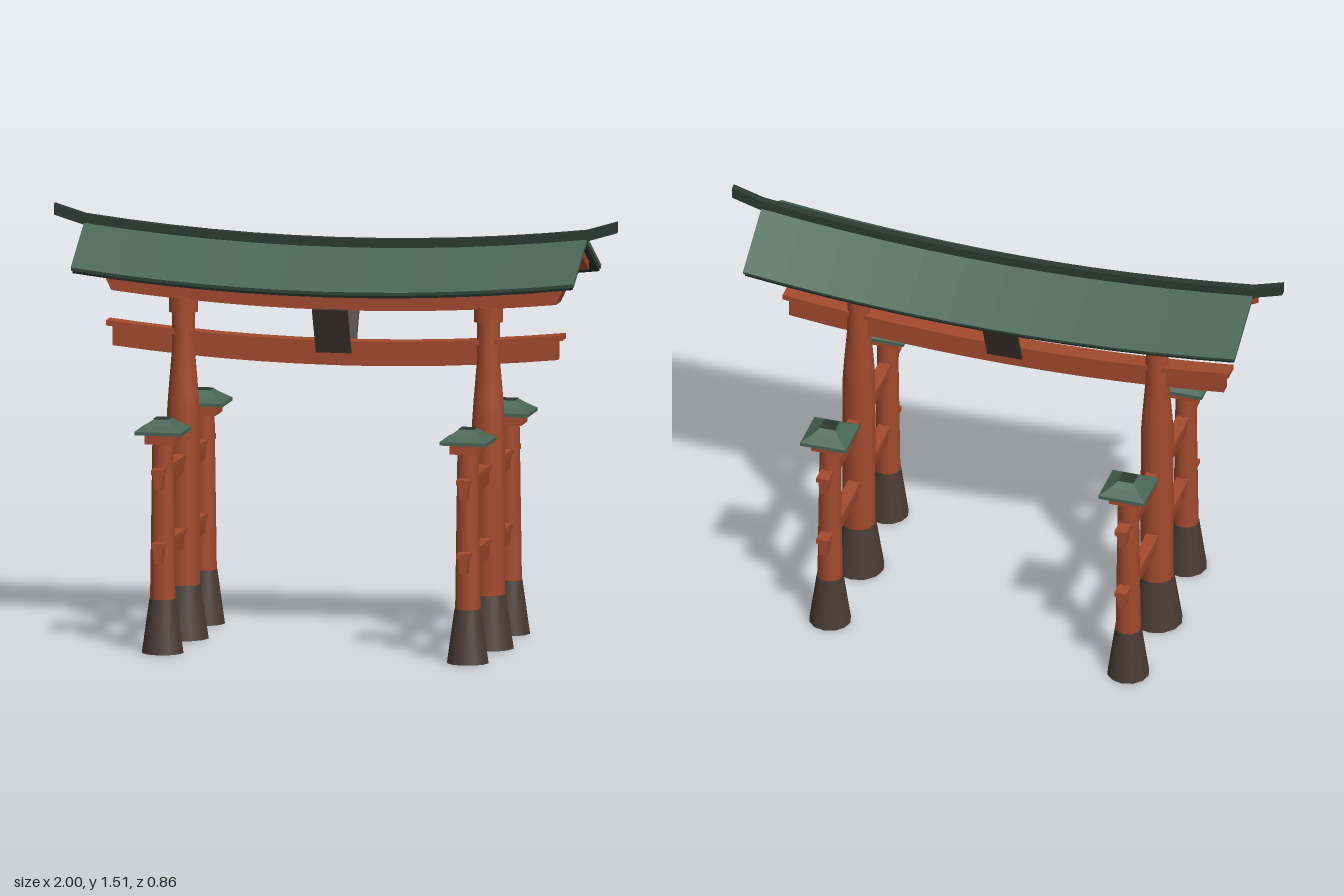
import * as THREE from 'three';

const mat = (name, color, flat = true) => {
  const m = new THREE.MeshStandardMaterial({ color });
  m.name = name;
  m.flatShading = flat;
  return m;
};

// Upward sweep shared by the beams and the roof
const curve = (x) => 0.055 * (x / 0.89) ** 2;
const beamCurve = (x) => 0.045 * (x / 0.8) ** 2;
const ridgeCurve = (x) => curve(x) + 0.17 * Math.max(0, Math.abs(x) - 0.89);

// Sweeps a convex section of [z, y, halfLength] points along x, bending it by a rule
function sweep(section, bend, stations) {
  let area = 0;
  section.forEach(([z, y], i) => {
    const [z2, y2] = section[(i + 1) % section.length];
    area += z * y2 - z2 * y;
  });
  const pts = area > 0 ? section : [...section].reverse();
  const n = pts.length, last = stations.length - 1, pos = [];
  const at = (k, i) => {
    const [z, y, h] = pts[i % n];
    const x = stations[k] * h;
    return [x, y + bend(x), z];
  };
  for (let k = 0; k < last; k++) {
    for (let i = 0; i < n; i++) {
      const a = at(k, i), b = at(k + 1, i), c = at(k + 1, i + 1), d = at(k, i + 1);
      pos.push(...a, ...b, ...c, ...a, ...c, ...d);
    }
  }
  for (let i = 1; i < n - 1; i++) {
    pos.push(...at(0, 0), ...at(0, i), ...at(0, i + 1));
    pos.push(...at(last, 0), ...at(last, i + 1), ...at(last, i));
  }
  const g = new THREE.BufferGeometry();
  g.setAttribute('position', new THREE.Float32BufferAttribute(pos, 3));
  g.computeVertexNormals();
  return g;
}

const even = Array.from({ length: 13 }, (_, i) => i / 6 - 1);
const ridgeStations = [-1, -0.95, -0.89, ...even.slice(1, -1).map((t) => t * 0.89), 0.89, 0.95, 1];

// Rectangular section: half depth, bottom, top, half lengths at bottom and top
const bar = (hz, y0, y1, h0, h1 = h0) => [[-hz, y0, h0], [hz, y0, h0], [hz, y1, h1], [-hz, y1, h1]];

export function createModel() {
  const root = new THREE.Group();
  const red = mat('vermilion wood', 0xa34a2e);
  const redRound = mat('vermilion wood', 0xa34a2e);
  redRound.flatShading = false;
  const paint = redRound;
  const green = mat('roof green', 0x486555);
  const dark = mat('dark ridge green', 0x2c3a33);
  const brown = mat('dark footing brown', 0x4a3b35, false);
  const plaqueMat = mat('plaque brown', 0x40352f);

  const add = (parent, name, geometry, material, x = 0, y = 0, z = 0) => {
    const m = new THREE.Mesh(geometry, material);
    m.name = name;
    m.position.set(x, y, z);
    parent.add(m);
    return m;
  };
  const lathe = (points) => new THREE.LatheGeometry(points.map((p) => new THREE.Vector2(...p)), 12);
  // Square frustum with its sides along the axes
  const frustum = (top, bottom, h) =>
    new THREE.CylinderGeometry(top * Math.SQRT2, bottom * Math.SQRT2, h, 4).rotateY(Math.PI / 4);

  for (const s of [-1, 1]) {
    const side = new THREE.Group();
    side.name = s > 0 ? 'leftLegs' : 'rightLegs';
    side.position.x = s * 0.542;
    root.add(side);

    // Main pillar with footing and collar
    add(side, 'pillarFooting', new THREE.CylinderGeometry(0.061, 0.09, 0.19, 12), brown, 0, 0.095, 0);
    add(side, 'pillar', lathe([[0.059, 0.19], [0.058, 0.8], [0.053, 0.87], [0.042, 1.0], [0.04, 1.15]]), paint);
    add(side, 'pillarCollar', new THREE.CylinderGeometry(0.052, 0.052, 0.054, 12), paint, 0, 1.174, 0);

    // Support posts with small roofs
    for (const f of [-1, 1]) {
      const post = new THREE.Group();
      post.name = f > 0 ? 'frontPost' : 'backPost';
      post.position.z = f * 0.338;
      side.add(post);
      add(post, 'postFooting', new THREE.CylinderGeometry(0.047, 0.074, 0.19, 12), brown, 0, 0.095, 0);
      add(post, 'postShaft', new THREE.CylinderGeometry(0.037, 0.045, 0.55, 12), paint, 0, 0.465, 0);
      add(post, 'postBlock', new THREE.BoxGeometry(0.106, 0.036, 0.106), red, 0, 0.755, 0);
      add(post, 'postEave', new THREE.BoxGeometry(0.166, 0.012, 0.166), green, 0, 0.778, 0);
      add(post, 'postRoof', frustum(0.05, 0.081, 0.02), green, 0, 0.794, 0);
      add(post, 'postRoofTop', frustum(0.027, 0.05, 0.018), green, 0, 0.813, 0);
      add(post, 'postRoofCap', new THREE.BoxGeometry(0.054, 0.003, 0.054), dark, 0, 0.8225, 0);
    }

    // Tie beams running front to back, with a ledge on top
    for (const y of [0.323, 0.582]) {
      const web = new THREE.Shape([[-0.012, 0], [0.012, 0], [0.017, 0.054], [-0.017, 0.054]]
        .map((p) => new THREE.Vector2(...p)));
      const g = new THREE.ExtrudeGeometry(web, { depth: 0.844, bevelEnabled: false }).translate(0, 0, -0.422);
      add(side, 'tieBeam', g, red, 0, y, 0);
      add(side, 'tieLedge', new THREE.BoxGeometry(0.044, 0.018, 0.86), red, 0, y + 0.062, 0);
    }
  }

  // Lower crossbeam
  add(root, 'lowerBeam', sweep(bar(0.018, 0.978, 1.048, 0.79), beamCurve, even), red);
  add(root, 'lowerBeamLedge', sweep(bar(0.03, 1.046, 1.065, 0.81), beamCurve, even), red);

  // Upper crossbeam with flared ends and gabled body
  add(root, 'upperBeam', sweep(bar(0.04, 1.175, 1.245, 0.79, 0.825), beamCurve, even), red);
  add(root, 'upperBeamBody', sweep([
    [-0.055, 1.24, 0.83], [0.055, 1.24, 0.83], [0.055, 1.328, 0.85], [0, 1.362, 0.85], [-0.055, 1.328, 0.85],
  ], beamCurve, even), red);

  // Roof slopes and the boards below them
  for (const s of [-1, 1]) {
    add(root, 'roofSlope', sweep([
      [0, 1.4, 0.893], [s * 0.228, 1.268, 0.893], [s * 0.222, 1.256, 0.893], [0, 1.384, 0.893],
    ], curve, even), green);
    add(root, 'roofUnderside', sweep([
      [0, 1.384, 0.888], [s * 0.222, 1.256, 0.888], [s * 0.218, 1.247, 0.888], [0, 1.373, 0.888],
    ], curve, even), dark);
    add(root, 'roofBoard', sweep([
      [0, 1.373, 0.87], [s * 0.137, 1.294, 0.87], [s * 0.128, 1.268, 0.87], [0, 1.342, 0.87],
    ], curve, even), red);
  }
  add(root, 'roofRidge', sweep(bar(0.013, 1.385, 1.424, 1), ridgeCurve, ridgeStations), dark);

  // Tilted plaques, front and back
  for (const s of [-1, 1]) {
    const p = add(root, s > 0 ? 'frontPlaque' : 'backPlaque',
      new THREE.BoxGeometry(0.126, 0.172, 0.009), plaqueMat, 0, 1.106, s * 0.069);
    p.rotation.x = s * 0.385;
  }
  return root;
}
